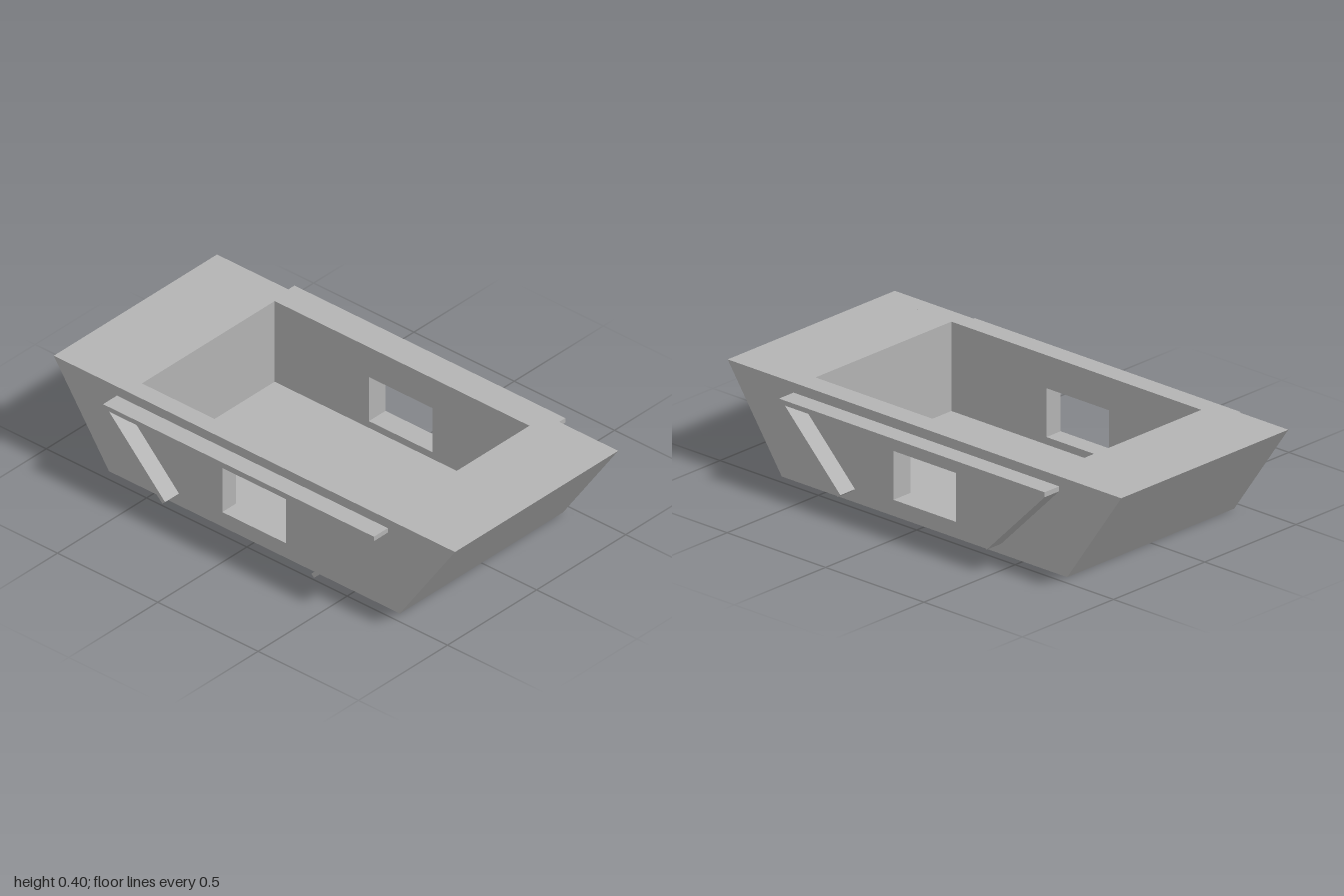
import * as THREE from 'three';

const TOP = 0.395, HALF_DEPTH = 0.458;
const CAVITY = { left: -0.63, right: 0.64, back: -0.365, front: 0.38, floor: 0.035 };

const polygon = points => new THREE.Shape(points.map(([x, y]) => new THREE.Vector2(x, y)));

export function createModel() {
  const model = new THREE.Group();
  model.name = 'hull';
  const grey = new THREE.MeshStandardMaterial({ color: 0xb4b4b4 });
  grey.name = 'grey';

  // Extrude a front-facing profile between two z positions
  const slab = (name, shape, z0, z1, parent = model) => {
    const geometry = new THREE.ExtrudeGeometry(shape, { depth: z1 - z0, bevelEnabled: false });
    geometry.translate(0, 0, z0);
    const mesh = new THREE.Mesh(geometry, grey);
    mesh.name = name;
    parent.add(mesh);
  };

  // Front and back walls, each with a rectangular window
  const wall = polygon([[-0.725, 0], [0.725, 0], [1, TOP], [-1, TOP]]);
  wall.holes.push(polygon([[-0.16, 0.065], [-0.16, 0.262], [0.157, 0.262], [0.157, 0.065]]));
  slab('frontWall', wall, CAVITY.front, HALF_DEPTH);
  slab('backWall', wall, -HALF_DEPTH, CAVITY.back);

  // Floor and sloping ends around the open cavity
  const middle = polygon([
    [-0.725, 0], [0.725, 0], [1, TOP], [CAVITY.right, TOP], [CAVITY.right, CAVITY.floor],
    [CAVITY.left, CAVITY.floor], [CAVITY.left, TOP], [-1, TOP],
  ]);
  slab('floorAndEnds', middle, CAVITY.back, CAVITY.front);

  // Projecting ledge with two diagonal braces on both long sides
  const ledge = polygon([[-0.685, 0.335], [0.665, 0.335], [0.665, 0.355], [-0.685, 0.355]]);
  const leftBrace = polygon([[0.665, 0.335], [0.635, 0.335], [0.353, 0.053], [0.367, 0.041]]);
  const rightBrace = polygon([[-0.685, 0.335], [-0.39, 0.041], [-0.376, 0.053], [-0.655, 0.335]]);
  for (const [name, z0, z1] of [['front', HALF_DEPTH, 0.536], ['back', -0.538, -HALF_DEPTH]]) {
    const frame = new THREE.Group();
    frame.name = name + 'Frame';
    slab('ledge', ledge, z0, z1, frame);
    slab('leftBrace', leftBrace, z0, z1, frame);
    slab('rightBrace', rightBrace, z0, z1, frame);
    model.add(frame);
  }
  return model;
}
